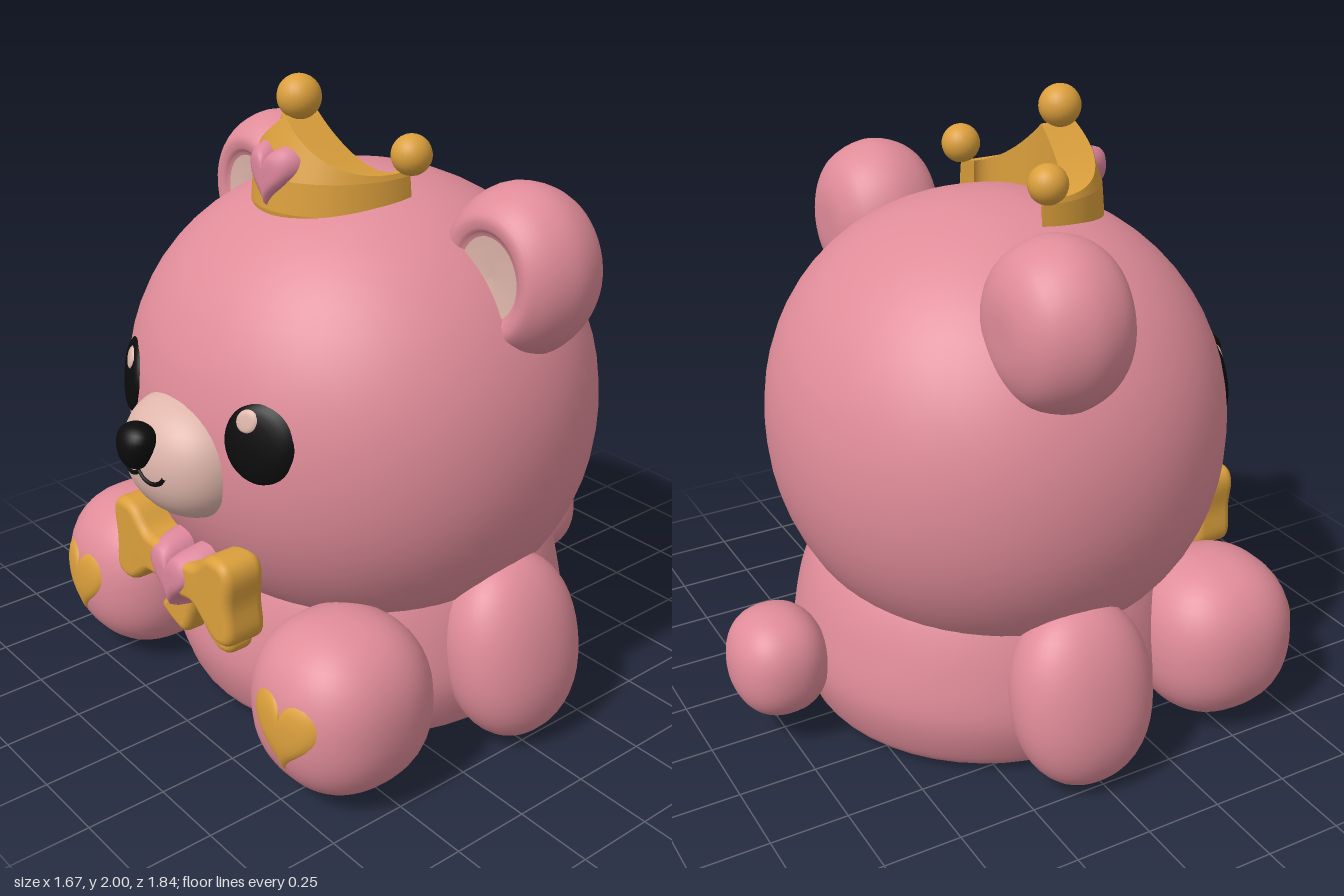
import * as THREE from 'three';
import { mergeVertices } from 'three/addons/utils/BufferGeometryUtils.js';

const mat = (name, color, side = THREE.FrontSide) => {
  const m = new THREE.MeshStandardMaterial({ color, side });
  m.name = name;
  return m;
};

export function createModel() {
  const pink = mat('pink fur', 0xe08c99);
  const rose = mat('rose heart', 0xdd869c);
  const gold = mat('gold', 0xdb9f3c, THREE.DoubleSide);
  const cream = mat('cream', 0xdfb6ab);
  const black = mat('black', 0x0b0b0b);

  const model = new THREE.Group();
  model.name = 'crownedBear';
  const add = (name, geometry, material, pos = [0, 0, 0], parent = model) => {
    const mesh = new THREE.Mesh(geometry, material);
    mesh.name = name;
    mesh.position.set(...pos);
    parent.add(mesh);
    return mesh;
  };

  // Rounded blob: a sphere pushed towards a box by exponent n
  const blob = (r, n = 2, detail = 48, bend = null) => {
    const g = new THREE.SphereGeometry(1, detail, detail / 2);
    const p = g.attributes.position, v = new THREE.Vector3();
    for (let i = 0; i < p.count; i++) {
      v.fromBufferAttribute(p, i);
      const k = (Math.abs(v.x) ** n + Math.abs(v.y) ** n + Math.abs(v.z) ** n) ** (-1 / n);
      v.multiplyScalar(k);
      if (bend) bend(v);
      p.setXYZ(i, v.x * r[0], v.y * r[1], v.z * r[2]);
    }
    g.deleteAttribute('uv');
    g.deleteAttribute('normal');
    const merged = mergeVertices(g, 1e-5);
    merged.computeVertexNormals();
    return merged;
  };
  // Height of the front of a blob at x, y
  const frontOf = (c, r, n) => (x, y) =>
    c[2] + r[2] * Math.max(0, 1 - Math.abs((x - c[0]) / r[0]) ** n - Math.abs((y - c[1]) / r[1]) ** n) ** (1 / n);

  // Domed plate that follows a surface, with its rim tucked just below it
  const plate = (outline, cx, cy, surface, lift, sink = 0.004) => {
    const rings = [0, 0.3, 0.55, 0.75, 0.88, 0.96, 1], seg = 48, pos = [], idx = [];
    rings.forEach((t, j) => {
      for (let i = 0; i < seg; i++) {
        const [px, py] = outline((i / seg) * Math.PI * 2);
        const x = cx + px * t, y = cy + py * t;
        pos.push(x, y, surface(x, y) + lift - (lift + sink) * t ** 8);
        if (j === 0) continue;
        const a = (j - 1) * seg + i, b = (j - 1) * seg + (i + 1) % seg;
        idx.push(a, a + seg, b + seg, a, b + seg, b);
      }
    });
    const g = new THREE.BufferGeometry();
    g.setAttribute('position', new THREE.Float32BufferAttribute(pos, 3));
    g.setIndex(idx);
    const merged = mergeVertices(g, 1e-6);
    merged.computeVertexNormals();
    return merged;
  };
  const oval = (rx, ry, tilt = 0) => (t) => {
    const x = rx * Math.cos(t), y = ry * Math.sin(t);
    return [x * Math.cos(tilt) - y * Math.sin(tilt), x * Math.sin(tilt) + y * Math.cos(tilt)];
  };
  const heart = (w, h) => (t) => [
    -w * Math.sin(t) ** 3,
    h * ((13 * Math.cos(t) - 5 * Math.cos(2 * t) - 2 * Math.cos(3 * t) - Math.cos(4 * t)) / 14.5 + 0.17),
  ];
  const lathe = (points, smooth = true) => {
    let v = points.map((p) => new THREE.Vector2(...p));
    if (smooth) v = new THREE.SplineCurve(v).getPoints(32).map((p) => p.setX(Math.max(0, p.x)));
    return new THREE.LatheGeometry(v, 48);
  };

  // Body with a flat base
  add('body', lathe([[0.55, 0], [0.605, 0.05], [0.65, 0.2], [0.63, 0.37], [0.58, 0.52], [0.5, 0.64]]), pink);
  add('base', new THREE.CircleGeometry(0.55, 48).rotateX(Math.PI / 2), pink);
  add('tail', blob([0.172, 0.175, 0.155], 2.3), pink, [0, 0.275, -0.76]);

  // Head
  const headC = [0, 0.96, 0.03], headR = [0.76, 0.73, 0.72], headN = 2.1;
  add('head', blob(headR, headN, 64), pink, headC);
  const face = frontOf(headC, headR, headN);

  // Muzzle, nose and mouth
  const muzC = [0, 0.935, 0.68], muzR = [0.225, 0.19, 0.185];
  add('muzzle', blob(muzR, 2.2), cream, muzC);
  const muzzleFront = frontOf(muzC, muzR, 2.2);
  add('nose', blob([0.062, 0.07, 0.06], 2.2, 32, (v) => { v.x *= 1 + 0.32 * v.y; }), black, [0, 1.005, 0.863]);
  const stroke = (name, pts) => {
    const path = new THREE.CatmullRomCurve3(pts.map(([x, y]) => new THREE.Vector3(x, y, muzzleFront(x, y))));
    add(name, new THREE.TubeGeometry(path, 20, 0.007, 8), black);
  };
  stroke('mouthCentre', [[0, 0.96], [0, 0.925]]);

  for (const s of [1, -1]) {
    const side = s > 0 ? 'left' : 'right';
    stroke(side + 'Mouth', [[0, 0.928], [s * 0.025, 0.909], [s * 0.06, 0.903], [s * 0.09, 0.914], [s * 0.108, 0.936]]);

    // Eyes with highlights
    add(side + 'Eye', plate(oval(0.105, 0.12, s * 0.2), s * 0.33, 1.07, face, 0.016), black);
    add(side + 'EyeHighlight', plate(oval(0.033, 0.034), s * 0.305, 1.138, (x, y) => face(x, y) + 0.016, 0.005), cream);

    // Ears with a dished cream centre
    const ear = new THREE.Group();
    ear.name = side + 'Ear';
    ear.position.set(s * 0.575, 1.485, -0.11);
    ear.scale.set(0.94, 1.02, 1);
    model.add(ear);
    add('earShell', lathe([[0, -0.172], [0.11, -0.165], [0.205, -0.11], [0.25, 0], [0.232, 0.1], [0.185, 0.162],
      [0.145, 0.165], [0.115, 0.148], [0, 0.12]]).rotateX(Math.PI / 2), pink, [0, 0, 0], ear);
    add('innerEar', lathe([[0.12, 0.152], [0.08, 0.148], [0, 0.143]], false).rotateX(Math.PI / 2), cream, [0, 0, 0], ear);

    // Arms hanging at the sides
    add(side + 'Arm', blob([0.17, 0.295, 0.23], 2.2), pink, [s * 0.655, 0.3, -0.03]).rotation.z = s * 0.2;

    // Legs with heart paw pads
    const legC = [s * 0.53, 0.285, 0.54], legR = [0.255, 0.268, 0.255];
    add(side + 'Leg', blob(legR, 2.35), pink, legC);
    add(side + 'PawHeart', plate(heart(0.13, 0.125), s * 0.56, 0.275, frontOf(legC, legR, 2.35), 0.009), gold);
  }

  // Bow: mirrored loops, two tails and a heart knot
  const puff = (pts, depth) => {
    const c = new THREE.SplineCurve([...pts, pts[0]].map((p) => new THREE.Vector2(...p)));
    const g = new THREE.ExtrudeGeometry(new THREE.Shape(c.getPoints(48)), {
      depth: depth - 0.06, bevelThickness: 0.03, bevelSize: 0.025, bevelOffset: -0.025, bevelSegments: 5,
    });
    g.deleteAttribute('uv');
    g.deleteAttribute('normal');
    const merged = mergeVertices(g, 1e-5);
    merged.computeVertexNormals();
    return merged.translate(0, 0, 0.03);
  };
  const loop = [[0.04, 0.62], [0.13, 0.635], [0.19, 0.69], [0.24, 0.705], [0.29, 0.695], [0.313, 0.65],
    [0.305, 0.56], [0.313, 0.47], [0.29, 0.43], [0.23, 0.425], [0.17, 0.465], [0.12, 0.5], [0.04, 0.5]];
  for (const s of [1, -1]) {
    const pts = loop.map(([x, y]) => [s * x, y]);
    add(s > 0 ? 'leftBowLoop' : 'rightBowLoop', puff(s > 0 ? pts : pts.reverse(), 0.14), gold, [0, 0, 0.65]);
  }
  add('leftBowTail', puff([[0.01, 0.48], [0.1, 0.47], [0.15, 0.41], [0.19, 0.36], [0.18, 0.32], [0.12, 0.315], [0.05, 0.37]], 0.1), gold, [0, 0, 0.61]);
  add('rightBowTail', puff([[0.01, 0.46], [-0.01, 0.37], [-0.055, 0.285], [-0.11, 0.285], [-0.185, 0.32], [-0.17, 0.36], [-0.08, 0.43]], 0.1), gold, [0, 0, 0.61]);
  add('bowHeart', plate(heart(0.132, 0.118), 0, 0.535, () => 0.735, 0.065, 0.05), rose);

  // Crown: an open crescent swept from a cross-section, thickest and tallest at the front
  const section = (a) => {
    const s = Math.sin(a), c = Math.cos(a);
    const k = Math.max(0, 1 - Math.abs(s)) ** 1.2, top = 1.73 + 0.155 * k;
    const ring = (f, y, lean = 0) => [0.262 * f * s, y, 0.1 + 0.285 * f * c - lean];
    const inner = (y) => [0.225 * s, y, 0.1 + 0.095 * c];
    return [ring(0.98, 1.59), ring(1, 1.62), ring(0.97, 1.715), ring(0.95, top, 0.06 * k), inner(top), inner(1.59)];
  };
  const N = 48, cp = [], ci = [];
  for (let e = 0; e < 6; e++) {
    const base = cp.length / 3;
    for (let i = 0; i <= N; i++) {
      const sec = section((i / N - 0.5) * 3.5);
      cp.push(...sec[e], ...sec[(e + 1) % 6]);
      const q = base + 2 * i;
      if (i < N) ci.push(q, q + 2, q + 3, q, q + 3, q + 1);
    }
  }
  for (const a of [-1.75, 1.75]) {
    const base = cp.length / 3;
    section(a).forEach((p) => cp.push(...p));
    for (let i = 1; i < 5; i++) ci.push(base, base + (a < 0 ? i : i + 1), base + (a < 0 ? i + 1 : i));
  }
  const crown = new THREE.BufferGeometry();
  crown.setAttribute('position', new THREE.Float32BufferAttribute(cp, 3));
  crown.setIndex(ci);
  crown.computeVertexNormals();
  add('crown', crown, gold);
  add('crownTopBall', new THREE.SphereGeometry(0.066, 24, 16), gold, [0, 1.934, 0.26]);
  for (const s of [1, -1]) {
    add(s > 0 ? 'crownLeftBall' : 'crownRightBall', new THREE.SphereGeometry(0.061, 24, 16), gold, [s * 0.265, 1.782, 0.06]);
  }
  const crownFront = (x) => 0.1 + 0.28 * Math.sqrt(1 - (x / 0.262) ** 2);
  add('crownHeart', plate(heart(0.1, 0.095), 0, 1.715, crownFront, 0.022, 0.03), rose);

  return model;
}
